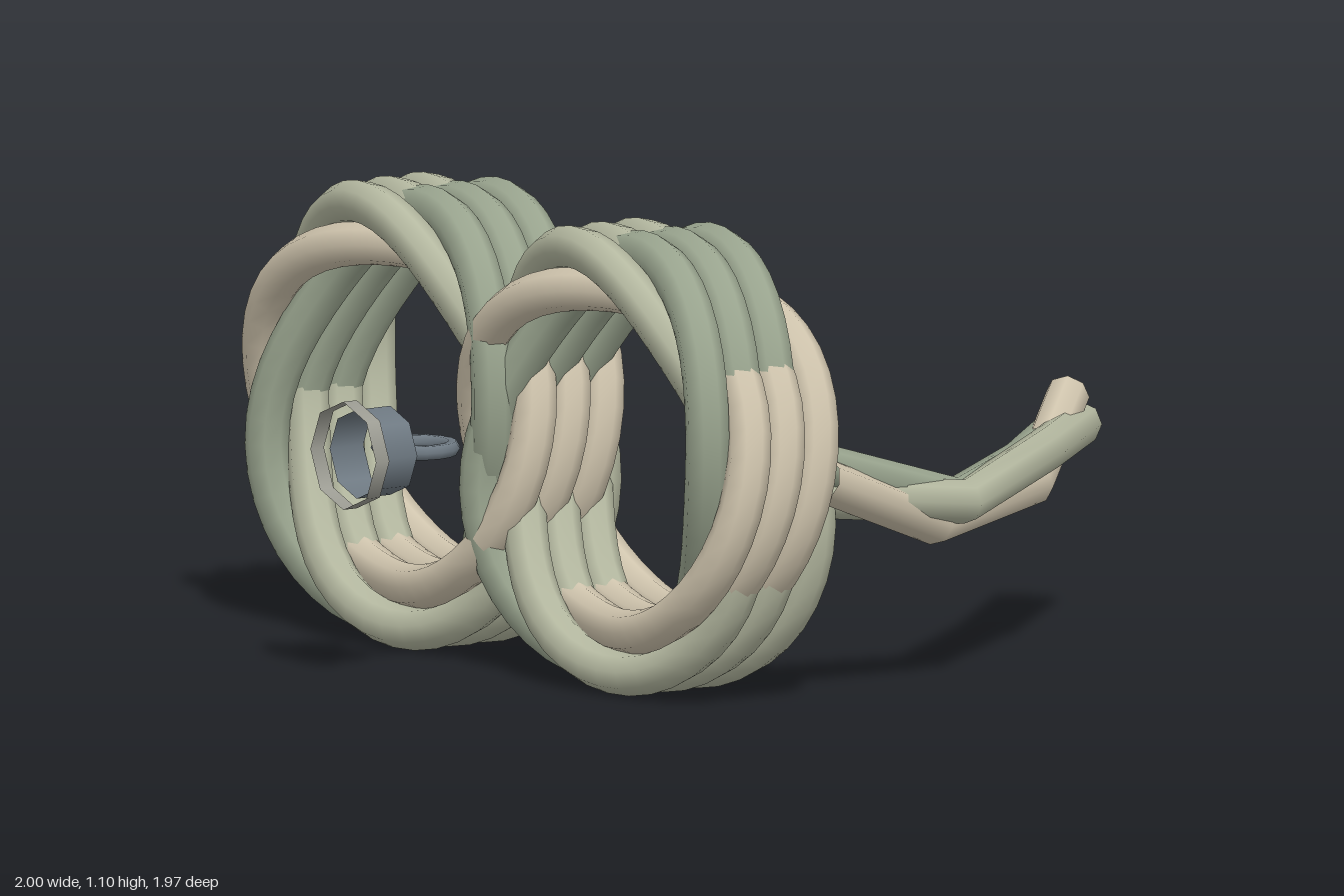
import * as THREE from 'three';

const paint = (color) => new THREE.MeshStandardMaterial({ color, side: THREE.DoubleSide });
const CENTER_X = 0.425, CENTER_Y = 0.557;

// One strand of a three-strand rope laid in a ring, twisting twice per loop.
class StrandLoop extends THREE.Curve {
  constructor(phase) {
    super();
    this.phase = phase;
  }
  getPoint(t, target = new THREE.Vector3()) {
    const angle = t * Math.PI * 2;
    const twist = 2 * angle + this.phase;
    const r = 0.464 + 0.058 * Math.cos(twist);
    return target.set(r * Math.cos(angle), r * Math.sin(angle), -0.058 * Math.sin(twist));
  }
}

// Tube with straight runs and a knee at each given point.
function kneedTube(points, radius) {
  const curve = new THREE.CatmullRomCurve3(points.map((p) => new THREE.Vector3(...p)));
  curve.getPointAt = curve.getPoint;
  curve.getTangentAt = curve.getTangent;
  return new THREE.TubeGeometry(curve, points.length - 1, radius, 8, false);
}

export function createModel() {
  const model = new THREE.Group();
  const add = (parent, name, geometry, material) => {
    const mesh = new THREE.Mesh(geometry, material);
    mesh.name = name;
    parent.add(mesh);
    return mesh;
  };

  // Strand colours, twist phases and the paths of the loose tail
  const strands = [
    { name: 'tan', color: 0xcfc4ad, phase: 0,
      tail: [[0.94, 0.55, 0.27], [0.86, 0.4, -0.12], [0.58, 0.41, -0.62], [0.32, 0.56, -0.92]] },
    { name: 'green', color: 0x9aa58f, phase: -Math.PI * 2 / 3,
      tail: [[0.88, 0.58, 0.25], [0.86, 0.45, -0.18], [0.56, 0.46, -0.6], [0.26, 0.47, -0.94]] },
    { name: 'sage', color: 0xb4b8a0, phase: Math.PI * 2 / 3,
      tail: [[0.86, 0.5, 0.25], [0.9, 0.45, -0.18], [0.6, 0.49, -0.64], [0.33, 0.49, -0.95]] },
  ];

  // Two overlapping coils of three loops each
  for (const strand of strands) {
    strand.material = paint(strand.color);
    strand.loop = new THREE.TubeGeometry(new StrandLoop(strand.phase), 48, 0.053, 8, true);
  }
  for (const side of [1, -1]) {
    const coil = new THREE.Group();
    coil.name = side > 0 ? 'leftCoil' : 'rightCoil';
    coil.position.set(side * CENTER_X, CENTER_Y, 0);
    for (const z of [0.305, 0.405, 0.505]) {
      for (const { name, loop, material } of strands) {
        add(coil, `${name}Loop`, loop, material).position.z = z;
      }
    }
    model.add(coil);
  }

  // Loose rope end trailing behind
  const tail = new THREE.Group();
  tail.name = 'ropeTail';
  for (const { name, tail: path, material } of strands) {
    add(tail, `${name}Tail`, kneedTube(path, 0.053), material);
  }
  model.add(tail);

  // Hook with an open-ended socket and rim
  const hook = new THREE.Group();
  hook.name = 'hook';
  hook.position.y = CENTER_Y;
  const steel = paint(0x6f7a83);
  const eye = new THREE.TorusGeometry(0.088, 0.019, 6, 16, Math.PI * 1.88);
  eye.rotateZ(Math.PI * 1.06).rotateX(Math.PI / 2);
  add(hook, 'eye', eye, steel).position.z = 0.775;
  const sleeve = (name, radius, depth, z, material) => {
    const geometry = new THREE.CylinderGeometry(radius, radius, depth, 8, 1, true);
    add(hook, name, geometry.rotateX(Math.PI / 2), material).position.z = z;
  };
  sleeve('socket', 0.107, 0.1, 0.9, steel);
  sleeve('socketRim', 0.13, 0.04, 0.97, paint(0x9d9d94));
  model.add(hook);

  return model;
}
